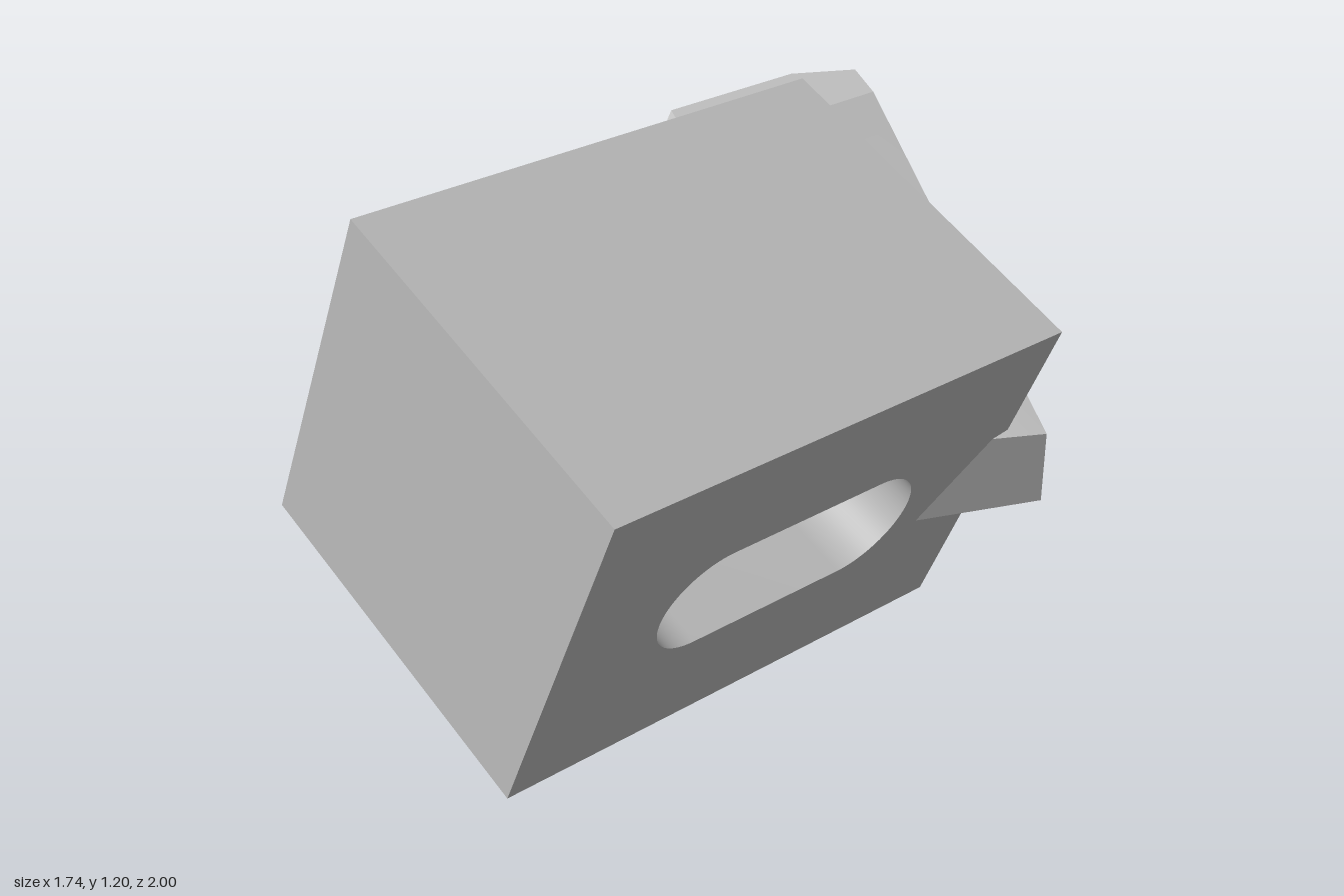
import * as THREE from 'three';
import { toCreasedNormals } from 'three/addons/utils/BufferGeometryUtils.js';
import { ConvexGeometry } from 'three/addons/geometries/ConvexGeometry.js';

const L = 1.292, H = 0.912, D = 0.908, WALL = 0.16; // hollow block
const SLOT_HALF = 0.218, SLOT_R = 0.153;            // slot straight half length, end radius
const CUBE = 0.176;                                 // thickness of the arm

function rectangle(path, w, h) {
  path.moveTo(-w / 2, -h / 2);
  path.lineTo(w / 2, -h / 2);
  path.lineTo(w / 2, h / 2);
  path.lineTo(-w / 2, h / 2);
  path.closePath();
  return path;
}

function slot() {
  const p = new THREE.Path();
  p.absarc(SLOT_HALF, 0, SLOT_R, -Math.PI / 2, Math.PI / 2, false);
  p.absarc(-SLOT_HALF, 0, SLOT_R, Math.PI / 2, Math.PI * 1.5, false);
  p.closePath();
  return p;
}

// Rectangular plate with one hole, starting at depth z
function plate(name, hole, depth, z, material) {
  const shape = rectangle(new THREE.Shape(), L, H);
  shape.holes.push(hole);
  const g = new THREE.ExtrudeGeometry(shape, { depth, bevelEnabled: false, curveSegments: 24 });
  g.translate(0, 0, z);
  const mesh = new THREE.Mesh(toCreasedNormals(g, 0.5), material);
  mesh.name = name;
  return mesh;
}

// Keep the part of a polygon list where n.p >= d, optionally closing the cut
function clip(polys, n, d, cap = false) {
  const out = [], cut = [];
  for (const poly of polys) {
    const kept = [];
    poly.forEach((a, i) => {
      const b = poly[(i + 1) % poly.length];
      const da = n.dot(a) - d, db = n.dot(b) - d;
      if (da >= 0) kept.push(a);
      if (da >= 0 !== db >= 0) {
        const p = a.clone().lerp(b, da / (da - db));
        kept.push(p);
        cut.push(p);
      }
    });
    if (kept.length > 2) out.push(kept);
  }
  if (cap && cut.length > 2) {
    const c = cut.reduce((s, p) => s.add(p), new THREE.Vector3()).divideScalar(cut.length);
    const e1 = new THREE.Vector3(0, 0, 1), e2 = e1.clone().cross(n);
    const angle = p => Math.atan2(p.clone().sub(c).dot(e2), p.clone().sub(c).dot(e1));
    // ordered clockwise about n, so that the cap faces away from the kept side
    out.push(cut.sort((p, q) => angle(p) - angle(q)).filter((p, i) => i === 0 || p.distanceTo(cut[i - 1]) > 1e-6));
    const last = out[out.length - 1];
    const normal = last[1].clone().sub(last[0]).cross(last[last.length - 1].clone().sub(last[0]));
    if (normal.dot(n) > 0) last.reverse();
  }
  return out;
}

function armGeometry(toLocal) {
  // Hull of four small upright cubes
  const centres = [[0.657, 0.895, -0.912], [0.288, 0.895, -0.702], [0.782, 0.44, 0.169], [-0.24, 0.37, 0.169]];
  const points = [];
  for (const [x, y, z] of centres)
    for (let i = 0; i < 8; i++)
      points.push(new THREE.Vector3(
        x + (i & 1 ? 0.5 : -0.5) * CUBE,
        y + (i & 2 ? 0.5 : -0.5) * CUBE,
        z + (i & 4 ? 0.5 : -0.5) * CUBE).applyMatrix4(toLocal));
  const pos = new ConvexGeometry(points).getAttribute('position');
  const hull = [];
  for (let i = 0; i < pos.count; i += 3)
    hull.push([0, 1, 2].map(k => new THREE.Vector3().fromBufferAttribute(pos, i + k)));

  const X = new THREE.Vector3(1, 0, 0), Z = new THREE.Vector3(0, 0, 1);
  const nX = X.clone().negate(), nZ = Z.clone().negate();
  const side = L / 2 - 0.005, face = D / 2 - 0.005;

  // Part beside the block, and the corner coming through its front
  const beside = clip(clip(hull, X, side), Z, -face);
  const front = clip(clip(clip(hull, Z, face), nX, -side), X, 0.4);
  const polys = [...beside, ...front];

  // Part behind the block, hollowed by the slot's round end in thin sectors
  const behind = clip(hull, nZ, face);
  const N = 18, step = Math.PI / N;
  for (let i = 0; i <= N; i++) {
    const a = -Math.PI / 2 + i * step;
    const a0 = i === 0 ? -2.95 : a - step / 2;
    const a1 = i === N ? 2.95 : a + step / 2;
    const n0 = new THREE.Vector3(-Math.sin(a0), Math.cos(a0), 0);
    const n1 = new THREE.Vector3(Math.sin(a1), -Math.cos(a1), 0);
    const n = new THREE.Vector3(Math.cos(a), Math.sin(a), 0);
    // the round cut is closed first, so its cap is trimmed to the sector too
    let part = clip(behind, n, n.x * SLOT_HALF + SLOT_R, true);
    part = clip(part, n0, n0.x * SLOT_HALF);
    part = clip(part, n1, n1.x * SLOT_HALF);
    polys.push(...part);
  }

  const verts = [];
  for (const p of polys)
    for (let i = 1; i < p.length - 1; i++)
      for (const v of [p[0], p[i], p[i + 1]]) verts.push(v.x, v.y, v.z);
  const g = new THREE.BufferGeometry();
  g.setAttribute('position', new THREE.Float32BufferAttribute(verts, 3));
  return toCreasedNormals(g, 0.4);
}

export function createModel() {
  const grey = new THREE.MeshStandardMaterial({ color: 0xbfbfbf });
  grey.name = 'grey';

  const model = new THREE.Group();
  model.name = 'slottedBlock';

  // Tilted frame of the block
  const block = new THREE.Group();
  block.name = 'block';
  block.position.set(-0.012, 0.6, 0.155);
  block.rotation.set(0.4136, Math.PI / 6, 0, 'YXZ');
  block.updateMatrix();
  model.add(block);

  // Slotted front and back walls, joined by a hollow sleeve
  block.add(plate('frontWall', slot(), WALL, D / 2 - WALL, grey));
  block.add(plate('backWall', slot(), WALL, -D / 2, grey));
  const cavity = rectangle(new THREE.Path(), L - 2 * WALL, H - 2 * WALL);
  block.add(plate('sleeve', cavity, D - 2 * WALL, WALL - D / 2, grey));

  // Slanted arm growing out of the block
  const arm = new THREE.Mesh(armGeometry(block.matrix.clone().invert()), grey);
  arm.name = 'arm';
  block.add(arm);
  return model;
}
